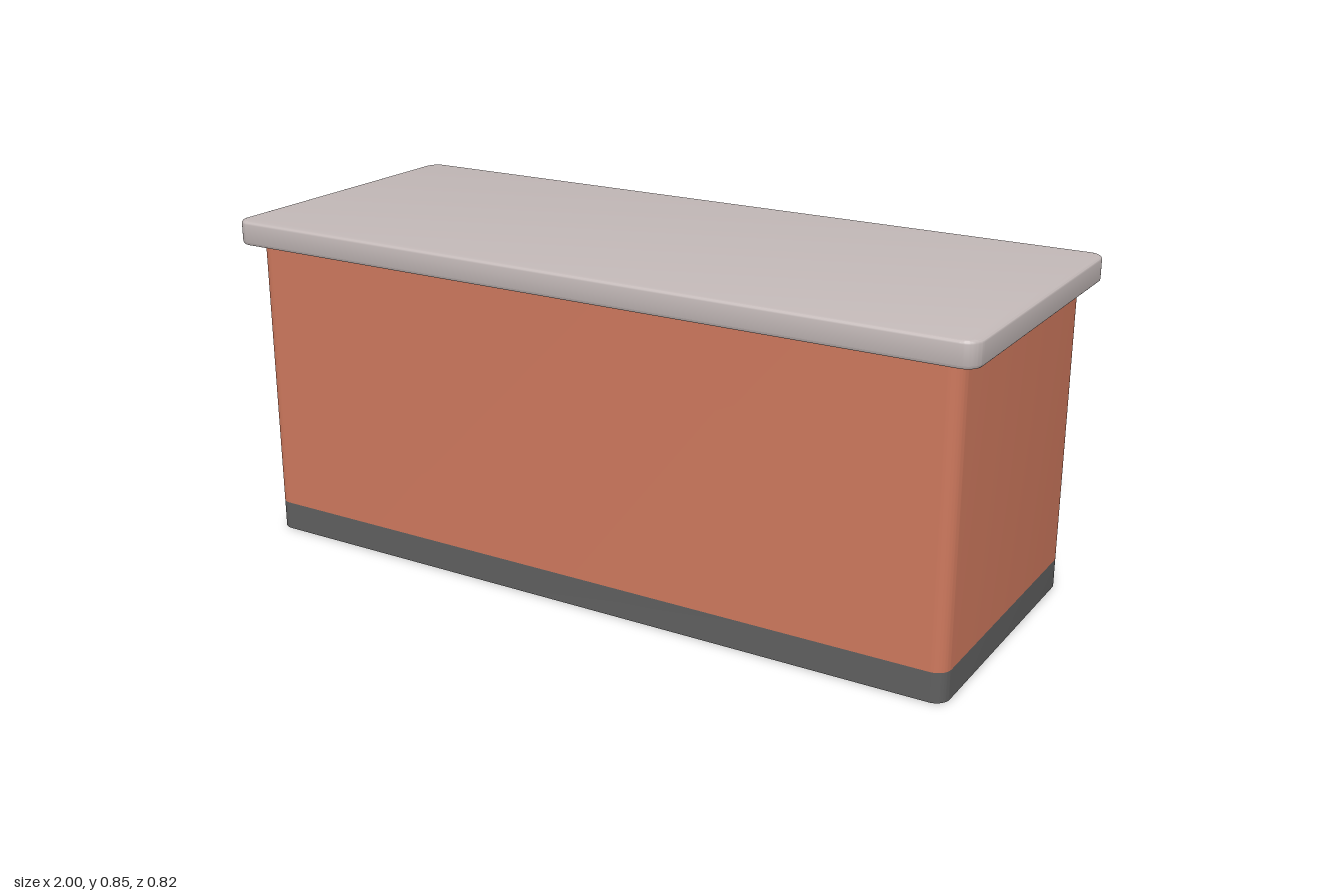
import * as THREE from 'three';
import { toCreasedNormals } from 'three/addons/utils/BufferGeometryUtils.js';

const CREASE = Math.PI / 5;

// Rectangle outline with rounded corners, counter-clockwise
function roundedRect(halfW, halfD, r) {
  const shape = new THREE.Shape();
  const x = halfW - r, y = halfD - r, q = Math.PI / 2;
  shape.absarc(x, y, r, 0, q);
  shape.absarc(-x, y, r, q, 2 * q);
  shape.absarc(-x, -y, r, 2 * q, 3 * q);
  shape.absarc(x, -y, r, 3 * q, 4 * q);
  shape.closePath();
  return shape;
}

// Thin open band that follows the outline between two heights
function band(shape, y0, y1) {
  const pts = shape.getPoints(8);
  const pos = [];
  pts.forEach((a, i) => {
    const b = pts[(i + 1) % pts.length];
    if (a.distanceTo(b) < 1e-6) return;
    pos.push(a.x, y0, -a.y, b.x, y0, -b.y, b.x, y1, -b.y);
    pos.push(a.x, y0, -a.y, b.x, y1, -b.y, a.x, y1, -a.y);
  });
  const geo = new THREE.BufferGeometry();
  geo.setAttribute('position', new THREE.Float32BufferAttribute(pos, 3));
  return toCreasedNormals(geo, CREASE);
}

export function createModel() {
  const model = new THREE.Group();
  model.name = 'counter';

  const material = (name, color, side = THREE.FrontSide) => {
    const m = new THREE.MeshStandardMaterial({ color, side });
    m.name = name;
    return m;
  };
  const terracotta = material('terracotta', 0xcd785d, THREE.DoubleSide);
  const charcoal = material('charcoal', 0x5f5f5f, THREE.DoubleSide);
  const stone = material('warm grey', 0xc2b8b7);

  const add = (name, geometry, mat) => {
    const mesh = new THREE.Mesh(geometry, mat);
    mesh.name = name;
    model.add(mesh);
  };

  // Hollow body, open underneath, with a dark kick strip at the floor
  const outline = roundedRect(0.958, 0.37, 0.036);
  add('kickStrip', band(outline, 0, 0.074), charcoal);
  add('bodyWalls', band(outline, 0.074, 0.79), terracotta);

  // Overhanging top slab with softened edges
  const bevel = 0.008, bottom = 0.786, top = 0.848;
  const slab = new THREE.ExtrudeGeometry(roundedRect(1 - bevel, 0.41 - bevel, 0.032), {
    depth: top - bottom - 2 * bevel,
    bevelThickness: bevel,
    bevelSize: bevel,
    bevelSegments: 3,
    curveSegments: 8,
  });
  slab.rotateX(-Math.PI / 2).translate(0, bottom + bevel, 0);
  add('topSlab', toCreasedNormals(slab, CREASE), stone);

  return model;
}
